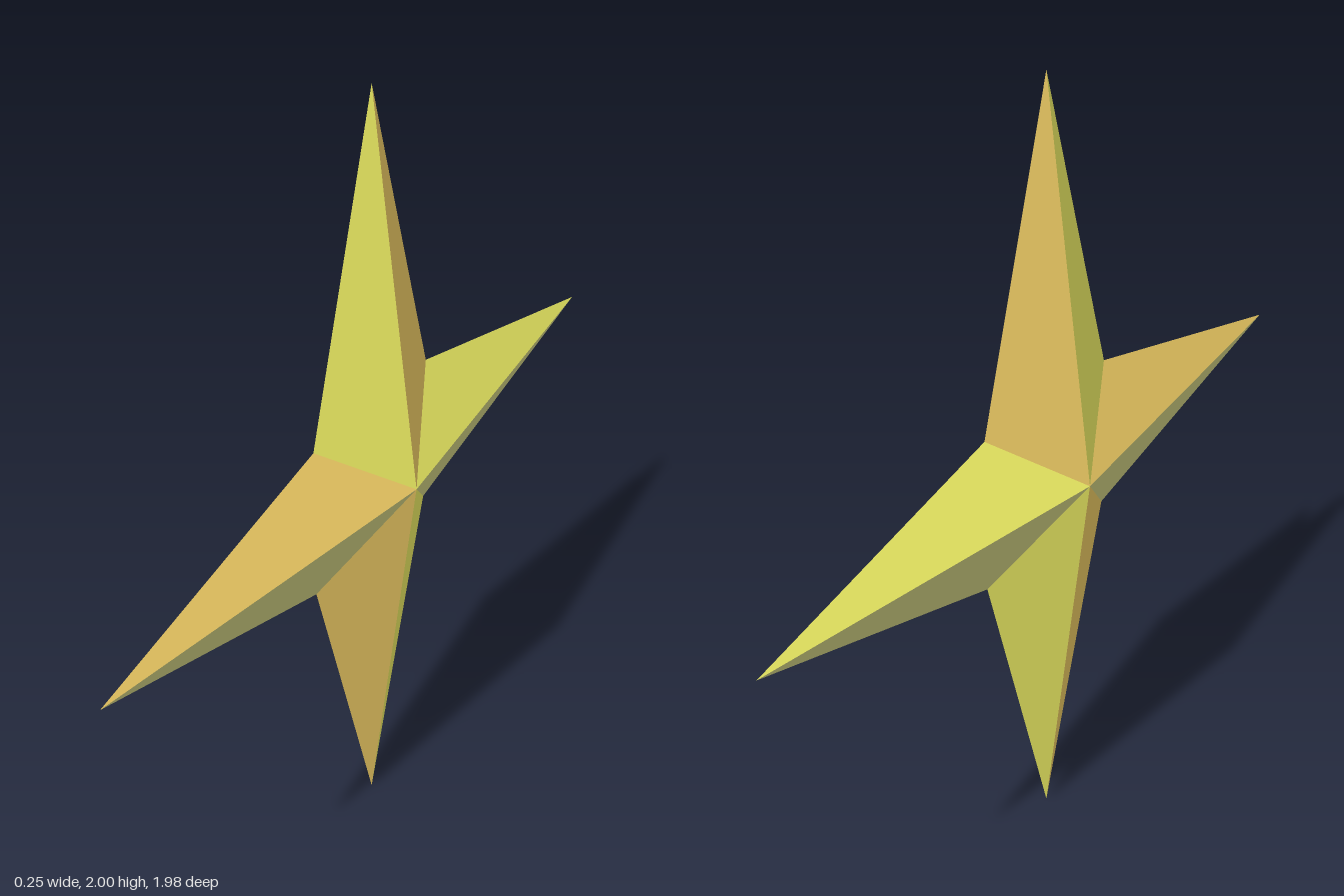
import * as THREE from 'three';

const YELLOW = 0xffff6c, ORANGE = 0xffda6c, PALE = 0xe6e690;
const MID = 1.02;     // height of the hub and the side tips
const DEPTH = 0.125;  // half thickness at the hub

// Outline corners as [z, y], counter-clockwise seen from +x, starting at the top
const outline = [
  [0, 2], [0.235, 1.21], [0.99, MID], [0.235, 0.81],
  [0, 0], [-0.235, 0.81], [-0.99, MID], [-0.235, 1.21],
];
// Colour of the flank that starts at each corner
const colors = [YELLOW, ORANGE, PALE, ORANGE, YELLOW, PALE, YELLOW, ORANGE];

// Two mirrored triangles running from an outline edge to the hub peaks
function flank([az, ay], [bz, by], color) {
  const geometry = new THREE.BufferGeometry();
  geometry.setAttribute('position', new THREE.Float32BufferAttribute([
    DEPTH, MID, 0, 0, ay, az, 0, by, bz,
    -DEPTH, MID, 0, 0, by, bz, 0, ay, az,
  ], 3));
  geometry.computeVertexNormals();
  const material = new THREE.MeshStandardMaterial({ color, flatShading: true });
  return new THREE.Mesh(geometry, material);
}

export function createModel() {
  const star = new THREE.Group();
  star.name = 'fourPointedStar';

  // Each arm has one flank on either side of its ridge
  ['topArm', 'frontArm', 'bottomArm', 'backArm'].forEach((name, arm) => {
    const group = new THREE.Group();
    group.name = name;
    const tip = arm * 2;
    for (const [i, side] of [[(tip + 7) % 8, 'FlankA'], [tip, 'FlankB']]) {
      const mesh = flank(outline[i], outline[(i + 1) % 8], colors[i]);
      mesh.name = name + side;
      group.add(mesh);
    }
    star.add(group);
  });
  return star;
}
